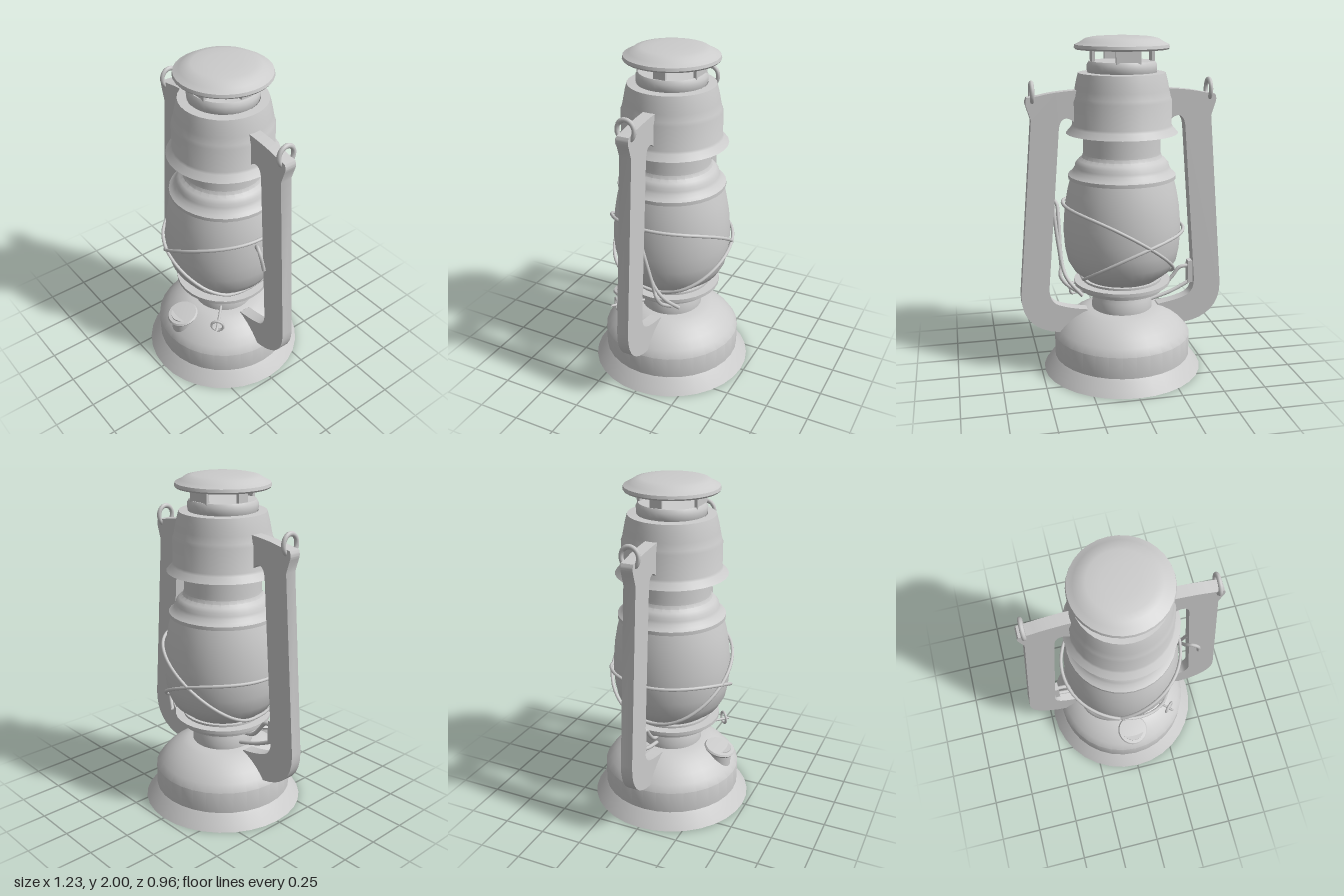
import * as THREE from 'three';
import { toCreasedNormals } from 'three/addons/utils/BufferGeometryUtils.js';

const material = new THREE.MeshStandardMaterial({ color: 0xcccccc, side: THREE.DoubleSide });
const V = (x, y, z) => new THREE.Vector3(x, y, z);

// Globe outline, shared by the glass and the guard wires: [radius, height]
const GLOBE = [[0.22, 0.575], [0.245, 0.595], [0.29, 0.63], [0.325, 0.69], [0.342, 0.77], [0.348, 0.85],
  [0.346, 0.93], [0.338, 1.02], [0.322, 1.11], [0.303, 1.185]];

function globeRadius(y) {
  for (let i = 1; i < GLOBE.length; i++) {
    const [r0, y0] = GLOBE[i - 1], [r1, y1] = GLOBE[i];
    if (y <= y1) return r0 + (r1 - r0) * Math.max(0, (y - y0) / (y1 - y0));
  }
  return GLOBE[GLOBE.length - 1][0];
}

export function createModel() {
  const model = new THREE.Group();

  function add(name, geometry, parent = model) {
    const mesh = new THREE.Mesh(geometry, material);
    mesh.name = name;
    parent.add(mesh);
    return mesh;
  }
  const lathe = (name, profile, parent, segments = 32) => add(name, toCreasedNormals(
    new THREE.LatheGeometry(profile.map(([r, y]) => new THREE.Vector2(r, y)), segments), 0.6), parent);
  const wire = (name, points, radius = 0.01, closed = false, steps = points.length * 5) => add(name,
    new THREE.TubeGeometry(new THREE.CatmullRomCurve3(points, closed, 'centripetal'), steps, radius, 8, closed));

  // Fuel tank with flared foot and neck
  lathe('fuelTank', [[0, 0], [0.48, 0], [0.455, 0.035], [0.425, 0.075], [0.413, 0.09], [0.413, 0.22],
    [0.385, 0.262], [0.345, 0.305], [0.3, 0.34], [0.25, 0.368], [0.215, 0.38], [0.183, 0.385]]);
  lathe('burnerNeck', [[0.183, 0.385], [0.183, 0.41], [0.175, 0.45], [0.162, 0.49], [0.155, 0.52]]);

  // Plate carrying the globe
  lathe('burnerPlate', [[0.15, 0.505], [0.25, 0.505], [0.255, 0.53], [0.29, 0.54], [0.29, 0.56],
    [0.24, 0.562], [0.24, 0.575], [0.2, 0.575]]);
  lathe('globe', GLOBE);

  // Globe collar and chimney
  lathe('globeCollar', [[0.303, 1.185], [0.316, 1.187], [0.316, 1.208], [0.3, 1.22], [0.285, 1.24],
    [0.276, 1.255], [0.272, 1.275], [0.255, 1.295], [0.235, 1.31], [0.228, 1.33]]);
  lathe('chimney', [[0.228, 1.325], [0.225, 1.345], [0.225, 1.6]]);
  lathe('hood', [[0.325, 1.452], [0.295, 1.487], [0.288, 1.5], [0.288, 1.64], [0.28, 1.66], [0.272, 1.7],
    [0.262, 1.75], [0.25, 1.795], [0.2, 1.798]]);
  lathe('hoodCrown', [[0.195, 1.795], [0.2, 1.81], [0.2, 1.84], [0.188, 1.86], [0, 1.86]]);

  // Strips holding the top cap
  for (const side of [-1, 1]) {
    add('capSupport', new THREE.BoxGeometry(0.14, 0.09, 0.018)).position.set(0, 1.895, side * 0.172);
    add('capSupport', new THREE.BoxGeometry(0.018, 0.09, 0.07)).position.set(side * 0.172, 1.895, -0.015);
  }
  lathe('topCap', [[0, 1.935], [0.23, 1.935], [0.265, 1.926], [0.272, 1.935], [0.268, 1.952], [0.235, 1.968],
    [0.21, 1.985], [0.17, 1.994], [0.1, 1.999], [0, 2]]);

  // Side tubes with ears for the bail
  const s = new THREE.Shape();
  s.moveTo(0.25, 1.703);
  s.quadraticCurveTo(0.4, 1.695, 0.48, 1.675);
  s.lineTo(0.548, 1.665);
  s.quadraticCurveTo(0.562, 1.64, 0.552, 1.615);
  s.lineTo(0.528, 1.54);
  s.lineTo(0.613, 0.5);
  s.bezierCurveTo(0.62, 0.35, 0.53, 0.27, 0.39, 0.252);
  s.lineTo(0.2, 0.365);
  s.lineTo(0.22, 0.385);
  s.quadraticCurveTo(0.33, 0.4, 0.39, 0.425);
  s.quadraticCurveTo(0.455, 0.45, 0.445, 0.55);
  s.lineTo(0.372, 1.48);
  s.quadraticCurveTo(0.365, 1.545, 0.325, 1.545);
  s.quadraticCurveTo(0.29, 1.54, 0.27, 1.5);
  const tube = toCreasedNormals(new THREE.ExtrudeGeometry(s,
    { depth: 0.07, bevelEnabled: false, curveSegments: 8 }).translate(0, 0, -0.035), 0.6);
  for (const side of [0, 1]) {
    const arm = new THREE.Group();
    arm.name = side ? 'rightSideTube' : 'leftSideTube';
    arm.rotation.y = side * Math.PI;
    model.add(arm);
    add('frameTube', tube, arm);
    const ring = add('bailRing', new THREE.TorusGeometry(0.05, 0.013, 8, 24), arm);
    ring.position.set(0.518, 1.69, 0);
    ring.rotation.y = Math.PI / 2;
    ring.scale.y = 1.12;
  }

  // Two guard loops crossing at the front and back of the globe
  for (const [name, mid, slope] of [['upperGuardWire', 0.9, 0.22], ['lowerGuardWire', 0.81, -0.15]]) {
    const points = [];
    for (let i = 0; i < 20; i++) {
      const a = i / 20 * Math.PI * 2, c = Math.cos(a);
      const y = mid + slope * c - 0.08 * c * c, r = globeRadius(y) + 0.017;
      points.push(V(r * c, y, r * Math.sin(a)));
    }
    wire(name, points, 0.01, true, 60);
  }

  // Globe lifting lever on the left
  wire('lifterHook', [V(0.465, 0.92, 0.07), V(0.45, 1.02, 0.085), V(0.415, 1.06, 0.08), V(0.383, 1.03, 0.06),
    V(0.378, 0.95, 0.02), V(0.375, 0.7, -0.08), V(0.35, 0.62, -0.13), V(0.27, 0.53, -0.18)], 0.011);
  wire('lifterLink', [V(0.41, 1.03, 0), V(0.4, 0.9, -0.03), V(0.38, 0.68, -0.08),
    V(0.39, 0.64, -0.1), V(0.36, 0.59, -0.11), V(0.27, 0.525, -0.13)], 0.011);

  // Hinge bracket and rods on the right
  add('hingeBracket', new THREE.BoxGeometry(0.03, 0.14, 0.05)).position.set(-0.425, 0.575, 0);
  wire('hingeWire', [V(-0.42, 0.61, 0), V(-0.36, 0.6, 0), V(-0.32, 0.55, 0), V(-0.27, 0.5, 0),
    V(-0.22, 0.483, 0), V(-0.13, 0.492, 0)], 0.012);
  wire('hingeRod', [V(-0.43, 0.51, 0), V(-0.31, 0.455, -0.01), V(-0.17, 0.415, -0.02)], 0.012);

  // Filler cap on the tank shoulder
  const filler = new THREE.Group();
  filler.name = 'fillerCap';
  model.add(filler);
  add('fillerNeck', new THREE.CylinderGeometry(0.072, 0.068, 0.13, 24), filler).position.set(0, 0.305, 0.318);
  const lid = lathe('fillerLid', [[0, -0.012], [0.088, -0.012], [0.095, 0], [0.088, 0.01], [0, 0.016]], filler, 24);
  lid.position.set(0, 0.366, 0.32);
  lid.rotation.x = 0.23;

  // Wick adjuster: spindle with a wire ring at its end
  wire('wickSpindle', [V(0.1, 0.415, 0.09), V(0.2, 0.415, 0.185), V(0.285, 0.415, 0.27)], 0.008);
  const knob = add('wickRing', new THREE.TorusGeometry(0.036, 0.008, 8, 20));
  knob.position.set(0.262, 0.425, 0.245);
  knob.rotation.y = Math.PI / 4;

  return model;
}
